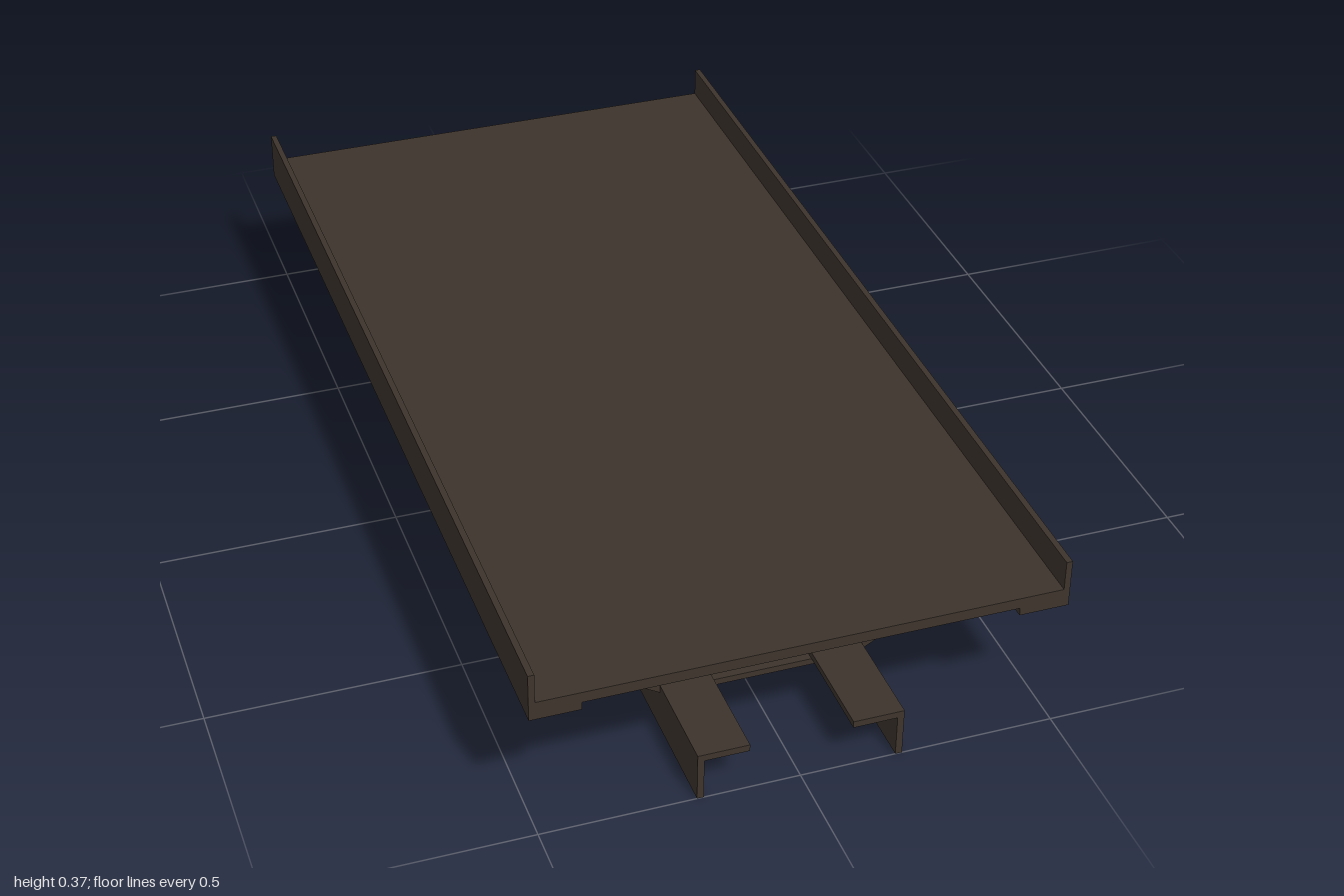
import * as THREE from 'three';

export function createModel() {
  const model = new THREE.Group();
  model.name = 'walkwayDeck';
  const steel = new THREE.MeshStandardMaterial({ color: 0x3d342c });
  steel.name = 'darkBrownSteel';

  // Extrudes an x-y profile along z, centred on z; side -1 mirrors it in x.
  function bar(name, profile, length, z = 0, side = 1) {
    const shape = new THREE.Shape(profile.map(([x, y]) => new THREE.Vector2(x * side, y)));
    const geometry = new THREE.ExtrudeGeometry(shape, { depth: length, bevelEnabled: false });
    geometry.translate(0, 0, z - length / 2);
    const mesh = new THREE.Mesh(geometry, steel);
    mesh.name = name;
    model.add(mesh);
  }

  // Flat deck plate
  bar('deck', [[-0.5, 0.283], [0.5, 0.283], [0.5, 0.305], [-0.5, 0.305]], 2);

  const edgeAngle = [[0.415, 0.267], [0.512, 0.267], [0.512, 0.366], [0.5, 0.366], [0.5, 0.283], [0.415, 0.283]];
  const footAngle = [[0.1, 0.086], [0.187, 0.086], [0.187, 0], [0.2, 0], [0.2, 0.1], [0.1, 0.1]];
  const brace = [[0.2, 0.083], [0.512, 0.266], [0.489, 0.267], [0.197, 0.098]];
  const tie = [[-0.187, 0.073], [0.187, 0.073], [0.187, 0.086], [-0.187, 0.086]];
  const stations = [-0.75, -0.25, 0.25, 0.75];

  // Long L-section rails and sloping braces on both sides
  for (const side of [1, -1]) {
    const label = side > 0 ? 'left' : 'right';
    bar(label + 'EdgeAngle', edgeAngle, 2, 0, side);
    bar(label + 'FootAngle', footAngle, 2, 0, side);
    stations.forEach((z, i) => bar(label + 'Brace' + (i + 1), brace, 0.084, z, side));
  }

  // Flat ties joining the lower rails
  stations.forEach((z, i) => bar('crossTie' + (i + 1), tie, 0.084, z));

  return model;
}
